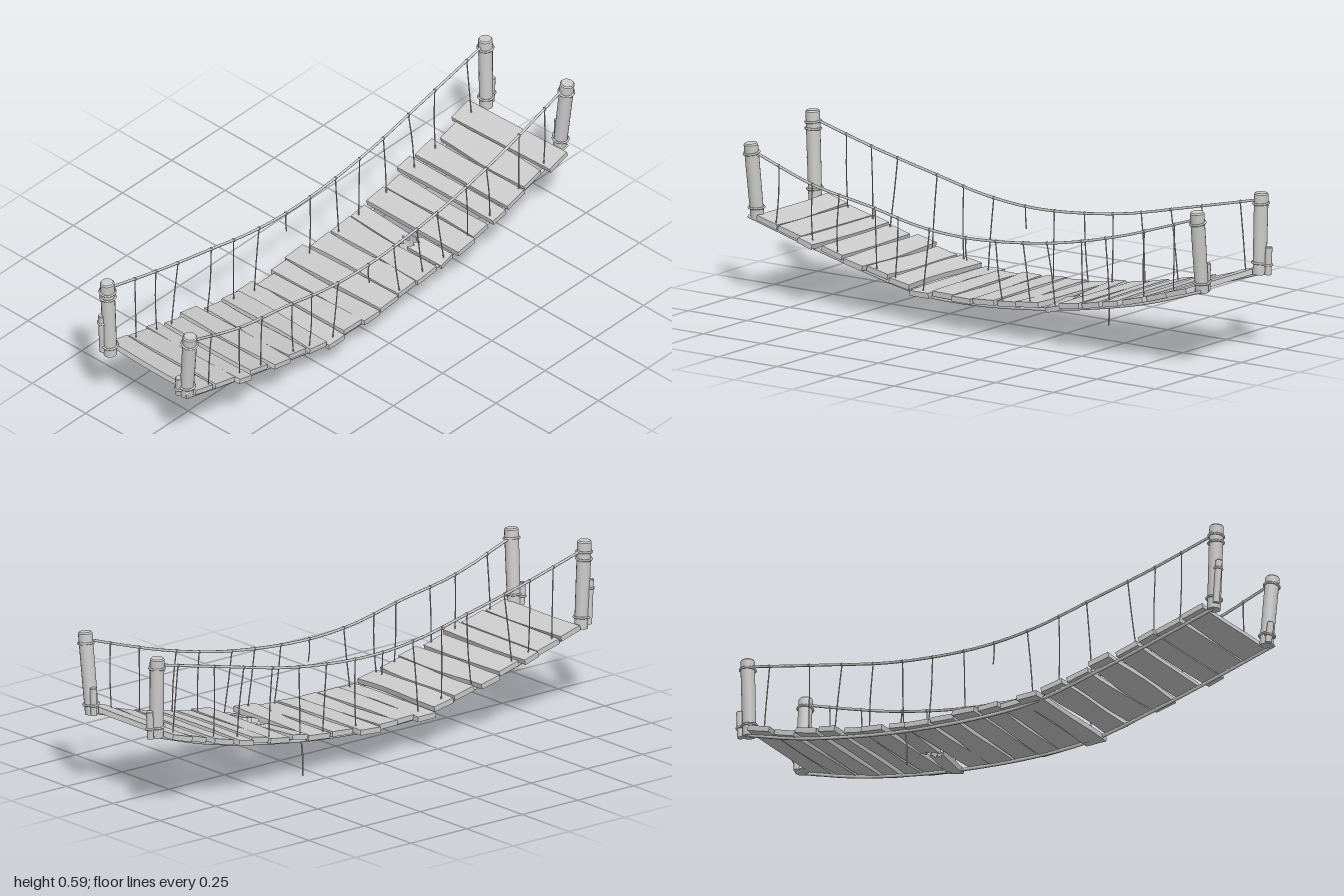
import * as THREE from 'three';

const V = (x, y, z) => new THREE.Vector3(x, y, z);
const UP = V(0, 1, 0);

// small seeded random, returns -1..1
let seed = 11;
const rnd = () => {
  seed = (seed * 16807) % 2147483647;
  return (seed / 2147483647) * 2 - 1;
};

const smooth = new THREE.MeshStandardMaterial({ color: 0xcccccc });
const flat = new THREE.MeshStandardMaterial({ color: 0xcccccc, flatShading: true });

function add(parent, name, geometry, material = smooth) {
  const m = new THREE.Mesh(geometry, material);
  m.name = name;
  parent.add(m);
  return m;
}

// curve through [x, y] pairs, sampled by x
const curve2 = (pts) => new THREE.CatmullRomCurve3(pts.map(([x, y]) => V(x, y, 0)));
function heightAt(curve, x) {
  let lo = 0, hi = 1;
  for (let i = 0; i < 24; i++) {
    const mid = (lo + hi) / 2;
    if (curve.getPoint(mid).x < x) lo = mid; else hi = mid;
  }
  return curve.getPoint(lo).y;
}

const deck = curve2([[-0.97, 0.297], [-0.7, 0.226], [-0.45, 0.167], [-0.22, 0.123], [0, 0.119],
  [0.3, 0.144], [0.55, 0.184], [0.75, 0.229], [0.97, 0.298]]);
const backRail = curve2([[-0.96, 0.558], [-0.7, 0.49], [-0.45, 0.435], [-0.22, 0.388], [0, 0.372],
  [0.33, 0.4], [0.65, 0.468], [0.95, 0.537]]);
const frontRail = curve2([[-0.95, 0.515], [-0.7, 0.432], [-0.45, 0.388], [-0.23, 0.345], [0, 0.334],
  [0.33, 0.366], [0.6, 0.425], [0.78, 0.48], [0.95, 0.537]]);

function rope(parent, name, points, radius, segments = 40) {
  const path = new THREE.CatmullRomCurve3(points);
  return add(parent, name, new THREE.TubeGeometry(path, segments, radius, 6), smooth);
}

// round log with chamfered top, running from a to b
function log(parent, name, a, b, r) {
  const len = a.distanceTo(b);
  const body = [[0, 0], [r * 0.96, 0], [r, len * 0.5], [r * 1.02, len - r * 0.2]];
  const cap = [[r * 1.02, len - r * 0.2], [r * 0.86, len], [0, len]];
  const g = new THREE.Group();
  g.name = name;
  for (const [n, prof] of [['logBody', body.slice(1)], ['logTop', cap], ['logBase', body.slice(0, 2)]]) {
    add(g, n, new THREE.LatheGeometry(prof.map((p) => new THREE.Vector2(...p)), 16), n === 'logBody' ? smooth : flat);
  }
  g.position.copy(a);
  g.quaternion.setFromUnitVectors(UP, b.clone().sub(a).normalize());
  parent.add(g);
  // a coil of rope tied round the log at height y
  return (y, tilt = 0.06) => {
    const ring = add(g, 'ropeTie', new THREE.TorusGeometry(r * 1.1, 0.004, 6, 20));
    ring.position.y = (y - a.y) / (b.y - a.y) * len;
    ring.rotation.set(Math.PI / 2 + tilt, tilt * 0.6, 0);
  };
}

// slightly warped plank, w along x, between z0 and z1
function plank(w, z0, z1) {
  const g = new THREE.BoxGeometry(w, 0.019, z1 - z0, 1, 1, 6);
  g.translate(0, 0, (z0 + z1) / 2);
  const p = g.attributes.position;
  const bow = rnd() * 0.004, skew = rnd() * 0.005, edge = rnd() * 0.004, phase = rnd() * 3;
  for (let i = 0; i < p.count; i++) {
    const z = p.getZ(i), u = z / 0.2;
    p.setY(i, p.getY(i) + bow * (1 - u * u));
    p.setX(i, p.getX(i) + skew * u + edge * Math.sin(u * 3 + phase) * Math.sign(p.getX(i)));
  }
  g.computeVertexNormals();
  return g;
}

// half of a snapped plank: splintered end at z = tip, sawn end at z = end
function snappedPlank(w, tip, end) {
  const s = Math.sign(tip - end), h = w / 2;
  const teeth = [[h, -0.012], [h * 0.6, 0.004], [h * 0.3, -0.02], [-h * 0.1, 0], [-h * 0.4, -0.012], [-h, 0.006]];
  const shape = new THREE.Shape([[-h, end], [h, end], ...teeth.map(([x, d]) => [x, tip + s * d])]
    .map(([x, z]) => new THREE.Vector2(x, -z)));
  const g = new THREE.ExtrudeGeometry(shape, { depth: 0.018, bevelEnabled: false });
  g.rotateX(-Math.PI / 2);
  return g.translate(0, -0.009, 0);
}

export function createModel() {
  seed = 11;
  const root = new THREE.Group();
  root.name = 'ropeBridge';

  // deck planks: [x start, x end, z back, z front]
  const planks = [
    [-0.93, -0.84, -0.205, 0.2], [-0.835, -0.735, -0.205, 0.205], [-0.735, -0.67, -0.215, 0.227],
    [-0.655, -0.565, -0.2, 0.2], [-0.553, -0.463, -0.222, 0.217], [-0.457, -0.367, -0.2, 0.2],
    [-0.355, -0.27, -0.21, 0.207], [-0.26, -0.185, -0.227, 0.212], [-0.18, -0.093, -0.2, 0.2],
    [-0.088, -0.013, -0.217, 0.212], [-0.003, 0.088, -0.232, 0.207], [0.1, 0.19, -0.205, 0.2],
    [0.195, 0.286, -0.205, 0.21], [0.382, 0.468, -0.21, 0.222], [0.473, 0.543, -0.2, 0.21],
    [0.564, 0.628, -0.232, 0.217], [0.644, 0.73, -0.222, 0.21], [0.74, 0.832, -0.2, 0.2],
    [0.837, 0.928, -0.227, 0.227],
  ];
  const planksGroup = new THREE.Group();
  planksGroup.name = 'deckPlanks';
  root.add(planksGroup);
  planks.forEach(([x0, x1, z0, z1], i) => {
    const m = add(planksGroup, 'plank', plank(x1 - x0, z0, z1), flat);
    const slope = Math.atan2(heightAt(deck, x1) - heightAt(deck, x0), x1 - x0);
    m.position.set((x0 + x1) / 2, heightAt(deck, (x0 + x1) / 2) - (i === 7 ? 0.009 : 0), 0);
    m.rotation.set(rnd() * 0.012, 0, i === 7 ? 0 : slope + rnd() * 0.03);
  });

  // broken plank, two sagging halves
  const backHalf = add(planksGroup, 'brokenPlankBack', snappedPlank(0.068, 0.02, -0.2), flat);
  backHalf.position.set(0.327, 0.137, 0);
  backHalf.rotation.set(0.07, 0, 0.16);
  const frontHalf = add(planksGroup, 'brokenPlankFront', snappedPlank(0.062, 0.06, 0.205), flat);
  frontHalf.position.set(0.327, 0.153, 0);
  frontHalf.rotation.set(0.08, 0.08, 0.25);

  // corner posts: [base, top, stake base, stake top, tie heights]
  const posts = [
    [V(0.955, 0.275, 0.168), V(0.958, 0.565, 0.201), V(0.962, 0.276, 0.149), V(0.964, 0.375, 0.149), [0.525, 0.31]],
    [V(0.95, 0.275, -0.172), V(0.953, 0.562, -0.179), V(0.982, 0.276, -0.178), V(0.986, 0.375, -0.178), [0.525, 0.315]],
    [V(-0.945, 0.275, 0.172), V(-0.955, 0.545, 0.198), V(-0.965, 0.277, 0.155), V(-0.972, 0.355, 0.16), [0.51, 0.315]],
    [V(-0.955, 0.275, -0.176), V(-0.968, 0.59, -0.179), V(-0.975, 0.29, -0.193), V(-0.985, 0.45, -0.19), [0.55, 0.525, 0.315]],
  ];
  for (const [a, b, sa, sb, ties] of posts) {
    const tie = log(root, 'post', a, b, 0.0248);
    ties.forEach((y, i) => tie(y, i % 2 ? -0.05 : 0.07));
    const stakeTie = log(root, 'stake', sa, sb, 0.012);
    stakeTie(sa.y + (sb.y - sa.y) * (sb.y > 0.4 ? 0.8 : 0.36));
  }

  // ropes on each side: rail, deck rope and hangers
  const sides = [
    { z: -0.181, rail: backRail, name: 'back' },
    { z: 0.19, rail: frontRail, name: 'front' },
  ];
  for (const { z, rail, name } of sides) {
    const along = (curve, dy, n = 24) => Array.from({ length: n + 1 }, (_, i) => {
      const p = curve.getPoint(i / n);
      return V(p.x, p.y + dy, z);
    });
    rope(root, name + 'HandRope', along(rail, 0), 0.005, 80);
    rope(root, name + 'DeckRope', along(deck, -0.015), 0.006, 80);
    const count = 14;
    for (let i = 0; i < count; i++) {
      const x = -0.84 + (1.68 * i) / (count - 1) + rnd() * 0.025;
      const lean = rnd() * 0.025 + (x < 0 ? -0.012 : 0.015);
      const top = V(x, heightAt(rail, x), z);
      const low = V(x + lean, heightAt(deck, x + lean) - 0.01, z);
      // a few hangers have snapped and dangle short
      if (i === 6) low.set(x + 0.004, top.y - 0.08, z);
      const mid = top.clone().lerp(low, 0.5).add(V(rnd() * 0.004, 0, rnd() * 0.004));
      rope(root, name + 'Hanger', [top, mid, low], 0.0022, 8);
      const knot = add(root, 'knot', new THREE.TorusGeometry(0.0055, 0.002, 5, 10));
      knot.position.copy(top);
      knot.rotation.y = Math.PI / 2;
    }
  }

  // loose rope end hanging below the broken plank
  rope(root, 'looseRope', [V(0.31, 0.14, -0.181), V(0.302, 0.1, -0.18), V(0.3, 0.05, -0.181), V(0.299, 0.001, -0.18)], 0.0028, 16);
  return root;
}
